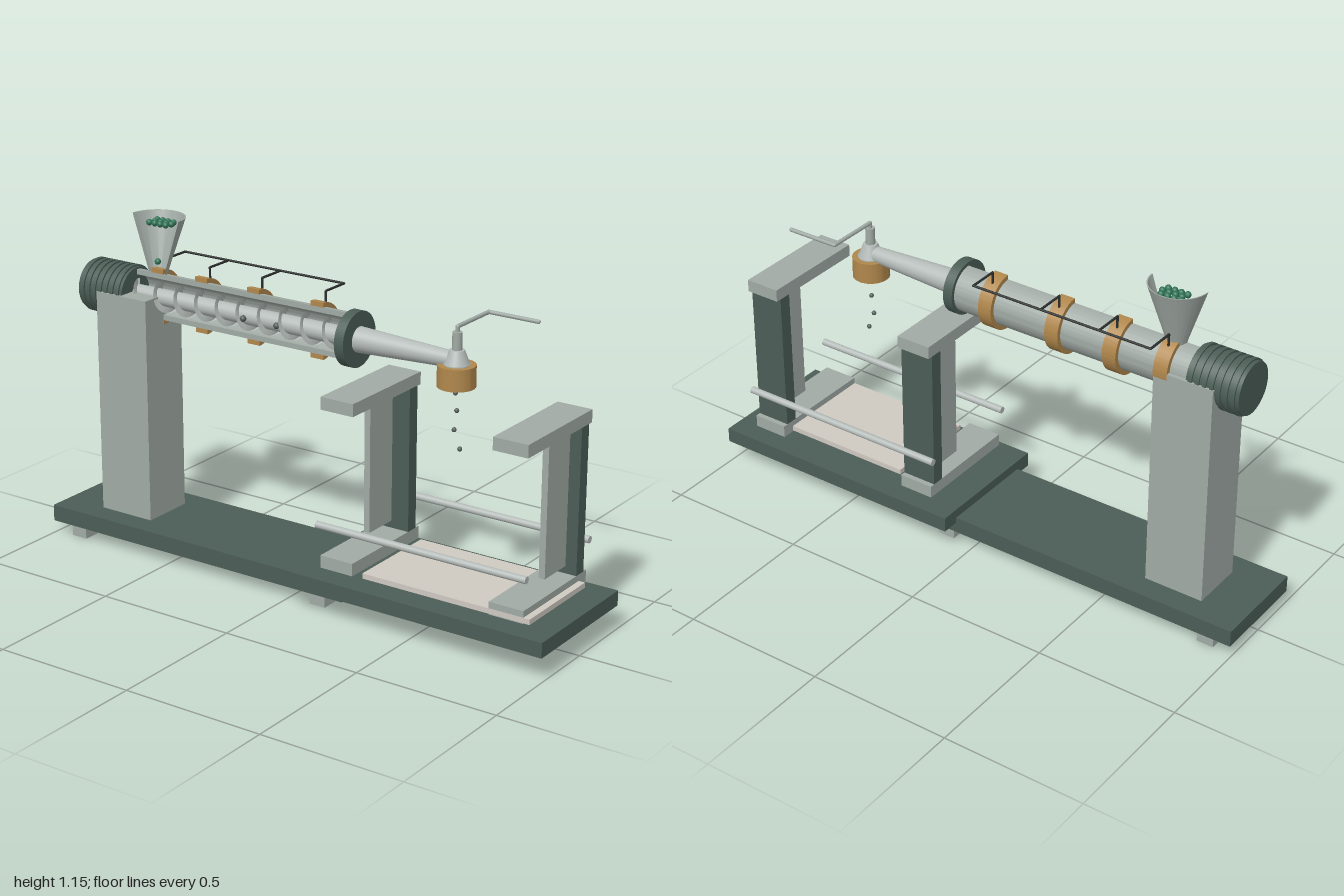
import * as THREE from 'three';
import { toCreasedNormals } from 'three/addons/utils/BufferGeometryUtils.js';

const mat = (color, side = THREE.FrontSide) => new THREE.MeshStandardMaterial({ color, side });
const DARK = mat(0x4b5d56), STEEL = mat(0xa1aaa5), LIGHT = mat(0xb4bbb8), COPPER = mat(0xb0874c);
const SHEET = mat(0xcfc9c1), GREEN = mat(0x2f7456), BLACK = mat(0x2a2e2c), GREY = mat(0x56605c);
const HOPPER = mat(0xa1aaa5, THREE.DoubleSide);
const AXIS = 0.88; // height of the screw axis

export function createModel() {
  const model = new THREE.Group();
  const add = (name, geo, m, x = 0, y = 0, z = 0) => {
    const mesh = new THREE.Mesh(geo, m);
    mesh.name = name;
    mesh.position.set(x, y, z);
    model.add(mesh);
    return mesh;
  };
  // Box given by its limits on each axis
  const box = (name, m, x0, x1, y0, y1, z0, z1) =>
    add(name, new THREE.BoxGeometry(x1 - x0, y1 - y0, z1 - z0), m, (x0 + x1) / 2, (y0 + y1) / 2, (z0 + z1) / 2);
  // Cylinder lying along x; r0 at x0, r1 at x1
  const rodX = (name, m, x0, x1, r0, r1 = r0, y = AXIS, z = 0) =>
    add(name, new THREE.CylinderGeometry(r1, r0, x1 - x0, 40).rotateZ(-Math.PI / 2), m, (x0 + x1) / 2, y, z);
  // Rear half of a pipe along x, cut open on the plane z = 0
  const halfPipe = (name, m, x0, x1, inner, outer) => {
    const s = new THREE.Shape();
    s.absarc(0, 0, outer, -Math.PI / 2, Math.PI / 2, false);
    s.absarc(0, 0, inner, Math.PI / 2, -Math.PI / 2, true);
    const g = new THREE.ExtrudeGeometry(s, { depth: x1 - x0, bevelEnabled: false, curveSegments: 28 });
    return add(name, toCreasedNormals(g.rotateY(Math.PI / 2), 0.6), m, x0, AXIS, 0);
  };
  // Bent rod through straight segments
  const bentRod = (name, m, r, ...pts) => {
    const path = new THREE.CurvePath();
    const v = pts.map((p) => new THREE.Vector3(...p));
    for (let i = 1; i < v.length; i++) {
      const g = new THREE.TubeGeometry(new THREE.LineCurve3(v[i - 1], v[i]), 1, r, 12);
      add(name, g, m);
      add(name + 'Joint', new THREE.SphereGeometry(r, 12, 8), m, ...pts[i]);
    }
    return path;
  };
  const ring = (name, m, inner, outer, y0, y1, x) => {
    const p = [[inner, y0], [outer, y0], [outer, y1], [inner, y1], [inner, y0]].map((a) => new THREE.Vector2(...a));
    return add(name, toCreasedNormals(new THREE.LatheGeometry(p, 40), 0.6), m, x, 0, 0);
  };

  // Bases and feet
  box('extruderBase', DARK, -1, 0.22, 0.045, 0.103, -0.177, 0.177);
  box('collectorBase', DARK, 0.06, 1, 0.083, 0.135, -0.24, 0.24);
  for (const x of [-0.9, 0.113]) for (const z of [-0.13, 0.13])
    box('foot', STEEL, x - 0.03, x + 0.03, 0, 0.046, z - 0.03, z + 0.03);
  box('column', STEEL, -0.843, -0.632, 0.1, 0.888, -0.095, 0.095);

  // Finned motor
  rodX('motor', DARK, -0.928, -0.742, 0.087);
  for (let i = 0; i < 7; i++) rodX('motorFin', DARK, -0.915 + i * 0.025, -0.902 + i * 0.025, 0.093);

  // Cut-open barrel, heater bands and end flange
  halfPipe('barrel', STEEL, -0.742, 0.132, 0.062, 0.08);
  const bandX = [-0.655, -0.47, -0.255, 0];
  for (const x of bandX) halfPipe('heaterBand', COPPER, x - 0.025, x + 0.025, 0.08, 0.096);
  rodX('flange', DARK, 0.13, 0.165, 0.093);

  // Heater wiring
  bentRod('heaterWire', BLACK, 0.004, [bandX[0], 1, -0.153], [0, 1, -0.153]);
  for (const x of bandX)
    bentRod('heaterLead', BLACK, 0.004, [x, 0.95, -0.05], [x, 1, -0.05], [x, 1, -0.153]);

  // Screw shaft and helical flight
  rodX('screwShaft', LIGHT, -0.742, 0.132, 0.028, 0.032);
  add('screwFlight', helix(-0.735, 0.125, 10, 0.024, 0.05, 0.008), LIGHT, 0, AXIS, 0);

  // Half hopper with pellets
  const cone = [[0.035, 0.955], [0.04, 0.975], [0.1, 1.155], [0.096, 1.155], [0.036, 0.975], [0.031, 0.955]]
    .map((p) => new THREE.Vector2(...p));
  add('hopper', toCreasedNormals(new THREE.LatheGeometry(cone, 32, Math.PI / 2, Math.PI), 0.6), HOPPER, -0.655, 0, 0);
  const ball = new THREE.SphereGeometry(0.011, 12, 8);
  for (let row = 0; row < 3; row++) for (let i = 0; i < 4; i++)
    add('pellet', ball, GREEN, -0.69 + i * 0.023 + (row % 2) * 0.008, 1.13, -0.008 - row * 0.021);
  add('pellet', ball, GREEN, -0.655, 1.0, -0.005);
  for (const x of [-0.27, -0.135]) add('barrelPellet', ball, GREY, x, AXIS, 0.036);

  // Outlet pipe, die head and falling drops
  rodX('outletPipe', LIGHT, 0.16, 0.535, 0.043, 0.026);
  add('elbow', new THREE.CylinderGeometry(0.024, 0.043, 0.05, 32), LIGHT, 0.53, 0.89, 0);
  ring('dieHeater', COPPER, 0.042, 0.062, 0.795, 0.867, 0.53);
  ring('die', LIGHT, 0.018, 0.043, 0.803, 0.87, 0.53);
  [[0.527, 0.772], [0.533, 0.715], [0.525, 0.65], [0.547, 0.59]].forEach(([x, y]) =>
    add('drop', new THREE.SphereGeometry(0.008, 12, 8), GREY, x, y, 0));

  // Crank handle above the die
  add('crankPost', new THREE.CylinderGeometry(0.016, 0.016, 0.09, 24), STEEL, 0.53, 0.928, 0);
  bentRod('crankHandle', STEEL, 0.007, [0.53, 0.96, 0], [0.53, 0.99, 0], [0.53, 0.99, -0.185], [0.71, 0.99, -0.185]);

  // Two C-shaped frames with stiffening ribs
  for (const s of [-1, 1]) {
    const x = 0.529 + s * 0.316, rib = 0.527 + s * 0.329;
    box('frameTopArm', STEEL, x - 0.062, x + 0.062, 0.697, 0.74, -0.193, 0.196);
    box('frameFoot', STEEL, x - 0.062, x + 0.062, 0.157, 0.2, -0.193, 0.196);
    box('framePost', DARK, x - 0.062, x + 0.062, 0.2, 0.697, -0.175, -0.13);
    box('frameRib', STEEL, rib - 0.011, rib + 0.011, 0.225, 0.675, -0.131, 0);
    rodX('tieRod', LIGHT, 0.137, 0.915, 0.012, 0.012, 0.304, s * 0.196);
  }
  box('collectingSheet', SHEET, 0.315, 0.93, 0.16, 0.178, -0.147, 0.197);
  return model;
}

// Rectangular section swept along a helix around x
function helix(x0, x1, turns, inner, outer, thick) {
  const n = turns * 28, pos = [], idx = [];
  const section = [[inner, -1], [outer, -1], [outer, 1], [inner, 1]];
  for (let i = 0; i <= n; i++) {
    const a = (i / n) * turns * Math.PI * 2, x = x0 + (x1 - x0) * (i / n);
    for (const [r, side] of section) pos.push(x + side * thick / 2, r * Math.cos(a), r * Math.sin(a));
    if (i === n) continue;
    for (let j = 0; j < 4; j++) {
      const a0 = i * 4 + j, b0 = i * 4 + (j + 1) % 4;
      idx.push(a0, b0, a0 + 4, b0, b0 + 4, a0 + 4);
    }
  }
  const e = n * 4;
  idx.push(0, 2, 1, 0, 3, 2, e, e + 1, e + 2, e, e + 2, e + 3);
  const g = new THREE.BufferGeometry();
  g.setAttribute('position', new THREE.Float32BufferAttribute(pos, 3));
  g.setIndex(idx);
  return toCreasedNormals(g, 0.6);
}
